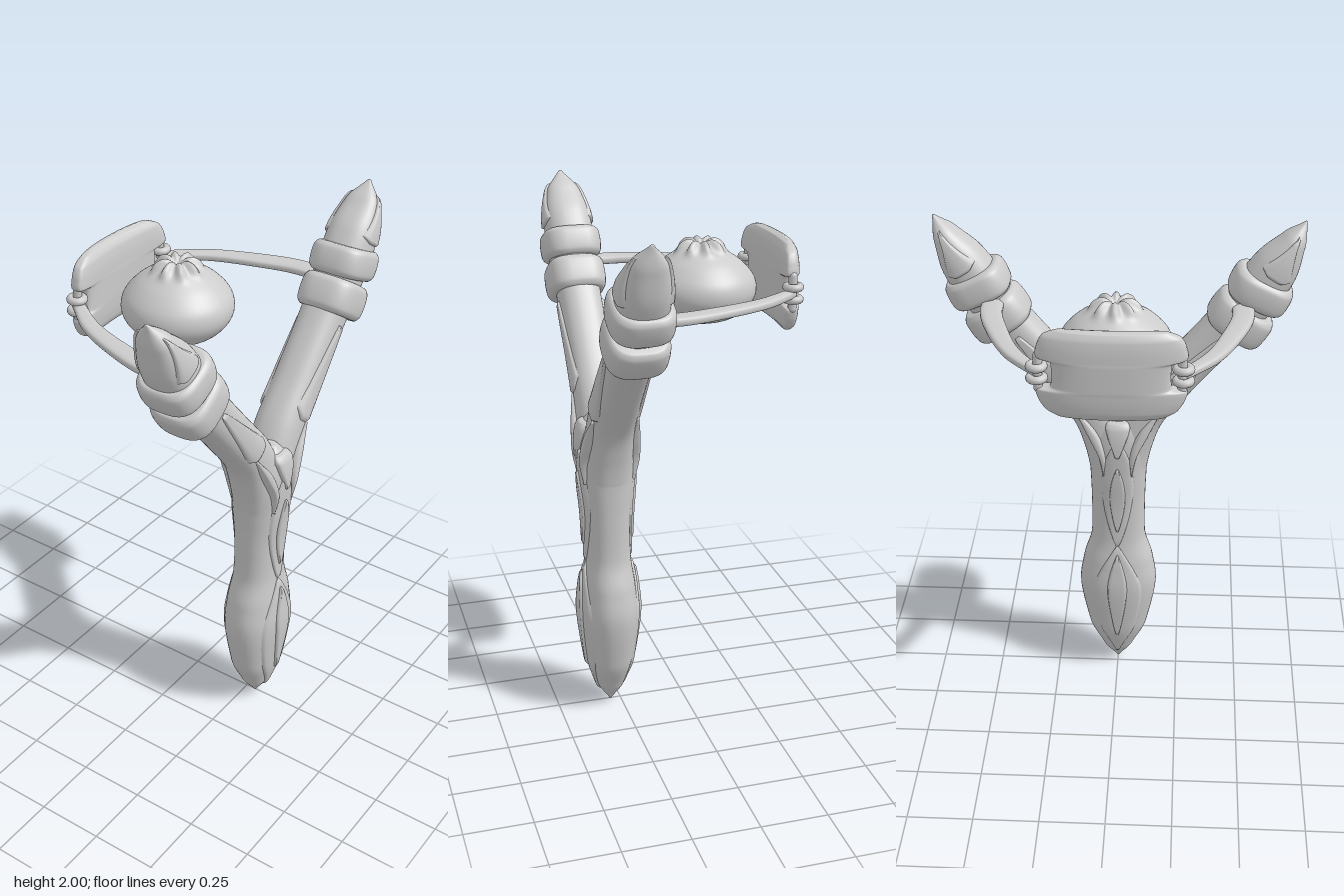
import * as THREE from 'three';

const mat = new THREE.MeshStandardMaterial({ color: 0xcccccc, side: THREE.DoubleSide });
const FORK_Z = 0.29;

function mesh(name, geo, x = 0, y = 0, z = 0) {
  const m = new THREE.Mesh(geo, mat);
  m.name = name;
  m.position.set(x, y, z);
  return m;
}

const mirrored = (rows) => rows.map(([x, ...rest]) => [-x, ...rest]);

// Smooth spine in the xy plane; each row is [x, y, half width, half depth]
function makeSpine(rows) {
  const path = new THREE.CatmullRomCurve3(rows.map((r) => new THREE.Vector3(r[0], r[1], 0)));
  const size = new THREE.CatmullRomCurve3(rows.map((r, i) => new THREE.Vector3(r[2], r[3], i)), false, 'catmullrom', 0.4);
  return (t) => {
    const p = path.getPoint(t), tan = path.getTangent(t), s = size.getPoint(t);
    return { p, nx: tan.y, ny: -tan.x, hw: Math.max(s.x, 0.001), hd: Math.max(s.y, 0.001) };
  };
}

function gridGeometry(pos, idx) {
  const g = new THREE.BufferGeometry();
  g.setAttribute('position', new THREE.Float32BufferAttribute(pos, 3));
  g.setIndex(idx);
  g.computeVertexNormals();
  return g;
}

// Closed superellipse loft along a spine
function loft(rows, power = 2.4, steps = 64, segs = 40) {
  const spine = makeSpine(rows), pos = [], idx = [];
  const sp = (v) => Math.sign(v) * Math.abs(v) ** (2 / power);
  for (let i = 0; i <= steps; i++) {
    const { p, nx, ny, hw, hd } = spine(i / steps);
    for (let j = 0; j < segs; j++) {
      const a = (j / segs) * Math.PI * 2, u = hw * sp(Math.cos(a));
      pos.push(p.x + nx * u, p.y + ny * u, hd * sp(Math.sin(a)));
    }
  }
  for (let i = 0; i < steps; i++) for (let j = 0; j < segs; j++) {
    const a = i * segs + j, b = i * segs + (j + 1) % segs;
    idx.push(a, a + segs, b, b, a + segs, b + segs);
  }
  for (const [t, base] of [[0, 0], [1, steps * segs]]) {
    const { p } = spine(t), c = pos.length / 3;
    pos.push(p.x, p.y, 0);
    for (let j = 0; j < segs; j++) {
      const a = base + j, b = base + (j + 1) % segs;
      if (t) idx.push(c, b, a); else idx.push(c, a, b);
    }
  }
  return gridGeometry(pos, idx);
}

// Raised plate lying on a loft's front (side 1) or back (side -1)
function plate(rows, t0, t1, width, height, side, power = 2.4) {
  const spine = makeSpine(rows), pos = [], idx = [], n = 36;
  const cols = [-1, -0.93, -0.86, -0.6, -0.3, 0, 0.3, 0.6, 0.86, 0.93, 1], c = cols.length;
  for (let i = 0; i <= n; i++) {
    const s = i / n, { p, nx, ny, hw, hd } = spine(t0 + (t1 - t0) * s);
    const end = Math.min(1, Math.min(s, 1 - s) * 25);
    for (const v of cols) {
      const u = v * width(s);
      const rise = height * end * Math.min(1, (1 - Math.abs(v)) * 9) - 0.002;
      const z = hd * (1 - Math.abs(u) ** power) ** (1 / power) + rise;
      pos.push(p.x + nx * u * hw, p.y + ny * u * hw, side * z);
    }
  }
  for (let i = 0; i < n; i++) for (let j = 0; j < c - 1; j++) {
    const a = i * c + j, b = a + c;
    if (side > 0) idx.push(a, a + 1, b, a + 1, b + 1, b);
    else idx.push(a, b, a + 1, a + 1, b, b + 1);
  }
  return gridGeometry(pos, idx);
}

const leaf = (w) => (s) => w * Math.sin(Math.PI * s) ** 0.85;
const wedge = (w0, w1) => (s) => (w0 + (w1 - w0) * s) * Math.min(1, 0.35 + s * 6);

const HANDLE = [[0, 0, 0.004, 0.004], [0, 0.08, 0.062, 0.052], [0, 0.2, 0.12, 0.085], [0, 0.4, 0.157, 0.106],
  [0, 0.52, 0.143, 0.1], [0, 0.64, 0.11, 0.086], [0, 0.8, 0.108, 0.086], [0, 0.95, 0.113, 0.098],
  [0, 1.08, 0.125, 0.105], [0, 1.17, 0.1, 0.096], [0, 1.225, 0.02, 0.06]];
const ARM = [[0.02, 0.95, 0.09, 0.085], [0.045, 1.08, 0.092, 0.09], [0.1, 1.21, 0.086, 0.088], [0.22, 1.36, 0.082, 0.083],
  [0.36, 1.525, 0.082, 0.083], [0.45, 1.63, 0.086, 0.087], [0.525, 1.737, 0.092, 0.092], [0.585, 1.83, 0.084, 0.09],
  [0.645, 1.93, 0.045, 0.064], [0.684, 2.0, 0.004, 0.006]];
const RIBBON = [[0.055, 0.96, 0.004, 0.1], [0.062, 1.05, 0.016, 0.116], [0.098, 1.14, 0.022, 0.11], [0.165, 1.245, 0.006, 0.09]];
const BAND = [[0.465, -0.22, 0.042, 0.018], [0.462, -0.12, 0.041, 0.018], [0.432, 0, 0.039, 0.017],
  [0.355, 0.2, 0.031, 0.016], [0.25, 0.345, 0.022, 0.015]];

// Rounded cuff rows around a centre point, along a direction
function cuffRows(x, y, dx, dy, half, hw, hd) {
  const profile = [[-1, 0.58], [-0.96, 0.84], [-0.65, 0.97], [0, 1], [0.65, 0.97], [0.96, 0.84], [1, 0.58]];
  return profile.map(([k, r]) => [x + dx * half * k, y + dy * half * k, hw * r, hd * r]);
}

function buildFork() {
  const fork = new THREE.Group();
  fork.name = 'fork';
  fork.position.z = FORK_Z;
  fork.add(mesh('handle', loft(HANDLE, 2.3, 90)));
  for (const side of [1, -1]) {
    // stepped leaf carving on grip, neck and crotch
    fork.add(mesh('gripCarving', plate(HANDLE, 0.06, 0.49, leaf(0.66), 0.011, side, 2.3)));
    fork.add(mesh('gripCarvingInner', plate(HANDLE, 0.17, 0.46, leaf(0.27), 0.021, side, 2.3)));
    fork.add(mesh('neckCarving', plate(HANDLE, 0.48, 0.84, leaf(0.58), 0.01, side, 2.3)));
    fork.add(mesh('neckCarvingInner', plate(HANDLE, 0.53, 0.74, leaf(0.3), 0.019, side, 2.3)));
    fork.add(mesh('crotchCarving', plate(HANDLE, 0.77, 0.95, (s) => 0.05 + 0.6 * s, 0.018, side, 2.3)));
  }
  for (const flip of [false, true]) {
    const pick = (rows) => (flip ? mirrored(rows) : rows), label = flip ? 'right' : 'left';
    fork.add(mesh(label + 'Arm', loft(pick(ARM), 2.4, 90)));
    fork.add(mesh(label + 'CrotchRibbon', loft(pick(RIBBON), 4, 40, 32)));
    fork.add(mesh(label + 'LowerCuff', loft(pick(cuffRows(0.457, 1.617, 0.56, 0.83, 0.066, 0.122, 0.114)), 3, 40)));
    fork.add(mesh(label + 'UpperCuff', loft(pick(cuffRows(0.528, 1.735, 0.43, 0.9, 0.058, 0.12, 0.114)), 3, 40)));
    for (const side of [1, -1]) {
      fork.add(mesh(label + 'ArmCarving', plate(pick(ARM), 0.26, 0.47, wedge(0.75, 0.12), 0.012, side)));
      fork.add(mesh(label + 'TipCarving', plate(pick(ARM), 0.745, 0.93, wedge(0.78, 0.1), 0.012, side)));
    }
  }
  return fork;
}

function buildSling() {
  const sling = new THREE.Group();
  sling.name = 'sling';
  // padded pouch, notched at the sides and curved toward the fork
  const rows = [[1.527, 0.14, 0.004], [1.534, 0.185, 0.02], [1.56, 0.23, 0.033], [1.6, 0.254, 0.039], [1.632, 0.258, 0.041],
    [1.646, 0.208, 0.042], [1.738, 0.208, 0.042], [1.752, 0.258, 0.041], [1.79, 0.254, 0.039], [1.828, 0.235, 0.033],
    [1.852, 0.19, 0.02], [1.859, 0.14, 0.004]].map(([y, w, d]) => [0, y, w, d]);
  const pouch = loft(rows, 3.6, 110, 64), p = pouch.attributes.position;
  for (let i = 0; i < p.count; i++) p.setZ(i, p.getZ(i) + 0.5 * p.getX(i) ** 2);
  pouch.computeVertexNormals();
  sling.add(mesh('pouch', pouch, -0.005, 0, -0.378));
  for (const s of [1, -1]) {
    const label = s > 0 ? 'left' : 'right';
    sling.add(mesh(label + 'Band', loft(s > 0 ? BAND : mirrored(BAND), 3, 40, 24).rotateX(-Math.PI / 2), 0, 1.688, 0));
    sling.add(mesh(label + 'PouchBar', new THREE.CapsuleGeometry(0.016, 0.12, 6, 16), s * 0.246, 1.692, -0.35));
    for (const y of [1.668, 1.712]) {
      const ring = new THREE.TorusGeometry(0.024, 0.015, 12, 24).rotateX(Math.PI / 2);
      sling.add(mesh(label + 'BandLoop', ring, s * 0.25, y, -0.35));
    }
  }
  return sling;
}

// Round pouch-shaped shot with a puckered top
function buildShot() {
  const pts = [[0, 1.548], [0.08, 1.551], [0.145, 1.575], [0.19, 1.62], [0.206, 1.665], [0.194, 1.715], [0.15, 1.765],
    [0.1, 1.8], [0.07, 1.83], [0.045, 1.845], [0.02, 1.838], [0, 1.82]].map(([x, y]) => new THREE.Vector2(x, y));
  const curve = new THREE.SplineCurve(pts).getPoints(60).map((v) => new THREE.Vector2(Math.max(v.x, 0), v.y));
  const geo = new THREE.LatheGeometry(curve, 64), p = geo.attributes.position;
  for (let i = 0; i < p.count; i++) {
    const x = p.getX(i), y = p.getY(i), z = p.getZ(i);
    const fold = THREE.MathUtils.smoothstep(y, 1.79, 1.84) * Math.cos(8 * Math.atan2(z, x));
    p.setXYZ(i, x * (1 + 0.18 * fold), y + 0.005 * fold * Math.min(1, Math.hypot(x, z) * 40), z * (1 + 0.18 * fold));
  }
  geo.computeVertexNormals();
  return mesh('shot', geo, -0.006, 0, -0.084);
}

export function createModel() {
  const model = new THREE.Group();
  model.name = 'slingshot';
  model.add(buildFork(), buildSling(), buildShot());
  return model;
}
